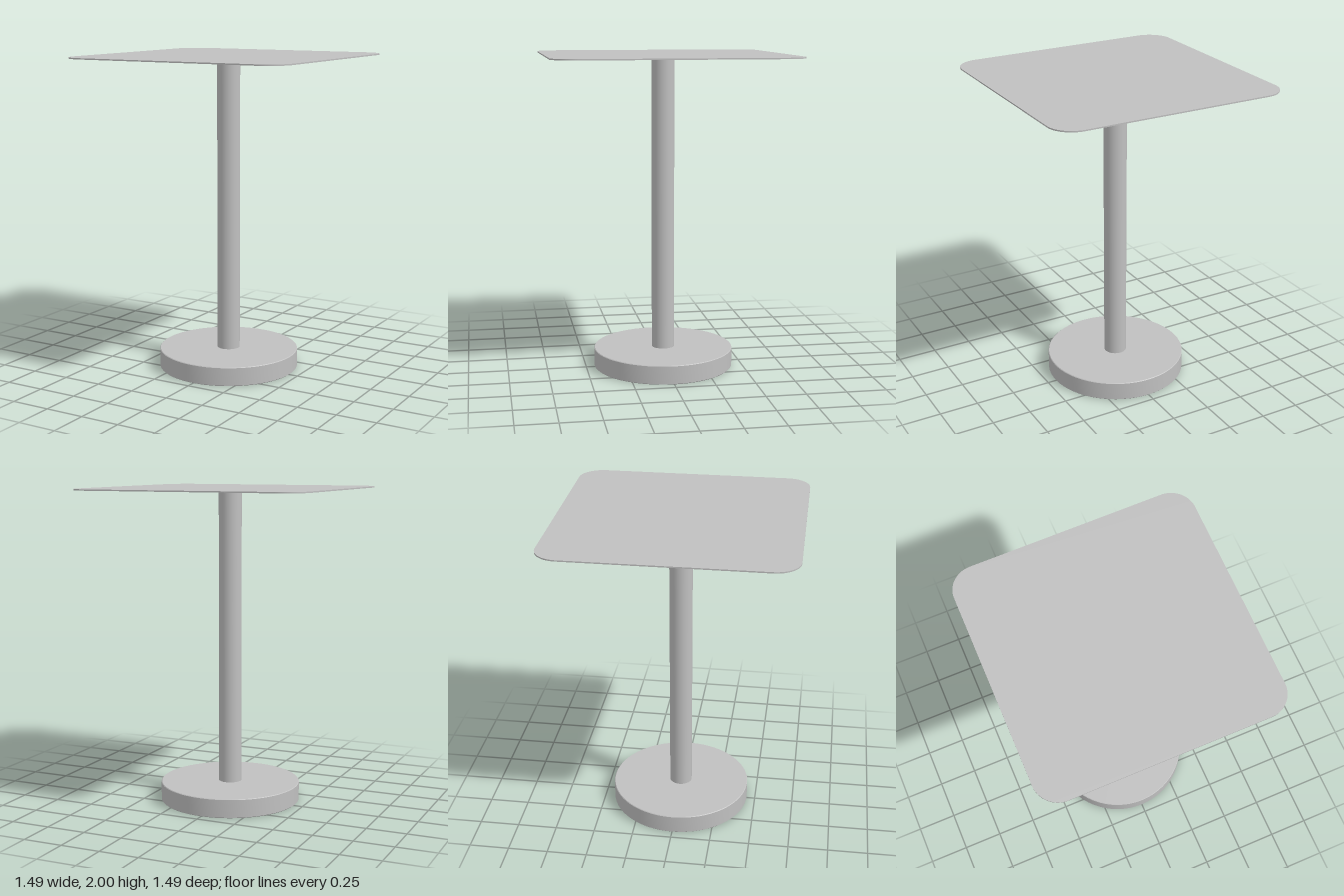
import * as THREE from 'three';
import { toCreasedNormals } from 'three/addons/utils/BufferGeometryUtils.js';

export function createModel() {
  const group = new THREE.Group();
  const grey = new THREE.MeshStandardMaterial({ color: 0xc0c0c0 });
  grey.name = 'light grey metal';

  const add = (name, geometry, y) => {
    const mesh = new THREE.Mesh(geometry, grey);
    mesh.name = name;
    mesh.position.y = y;
    group.add(mesh);
  };

  // Round foot with a tiny bevel on both rims
  const R = 0.445, H = 0.12, b = 0.004;
  const profile = [[0, 0], [R - b, 0], [R, b], [R, H - b], [R - b, H], [0, H]]
    .map(([x, y]) => new THREE.Vector2(x, y));
  add('base', toCreasedNormals(new THREE.LatheGeometry(profile, 64), 0.5), 0);

  // Central column, from the foot to the underside of the top
  const top = 2, thickness = 0.008;
  const length = top - thickness - H;
  add('column', new THREE.CylinderGeometry(0.072, 0.072, length, 48), H + length / 2);

  // Thin square top with rounded corners
  const s = 0.745, r = 0.15, c = s - r;
  const outline = new THREE.Shape();
  [[c, c], [-c, c], [-c, -c], [c, -c]].forEach(([x, y], i) => {
    outline.absarc(x, y, r, i * Math.PI / 2, (i + 1) * Math.PI / 2, false);
  });
  outline.closePath();
  const plate = new THREE.ExtrudeGeometry(outline, { depth: thickness, bevelEnabled: false, curveSegments: 16 });
  plate.rotateX(-Math.PI / 2);
  add('tableTop', toCreasedNormals(plate, 0.5), top - thickness);

  return group;
}
